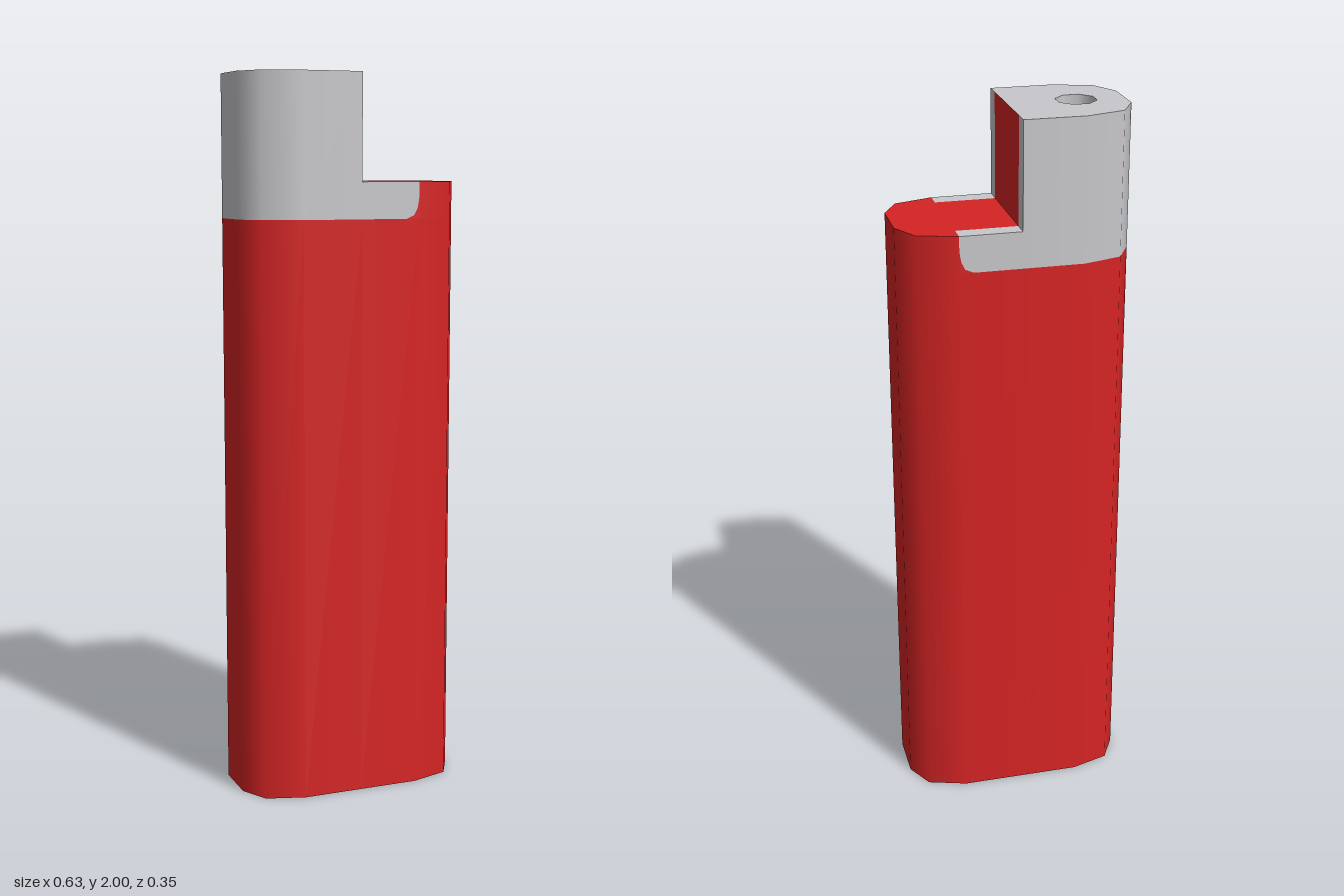
import * as THREE from 'three';

const RED = new THREE.MeshStandardMaterial({ color: 0xd62424 });
RED.name = 'red plastic';
const GREY = new THREE.MeshStandardMaterial({ color: 0xc8c8cc });
GREY.name = 'grey metal';

const BAND = 1.61, SHOULDER = 1.71, TOP = 2, DEPTH = 0.177, EDGE = 0.168;

// Outline in plan (x, -z), running anticlockwise from the middle of the front
const half = [[0, -DEPTH], [EDGE, -DEPTH], [0.275, -0.144], [0.317, -0.067],
  [0.317, 0.067], [0.275, 0.144], [EDGE, DEPTH]];
const outline = [...half, ...half.map(([x, y]) => [-x, -y])];

const toShape = (pts) => new THREE.Shape(pts.map(([x, y]) => new THREE.Vector2(x, y)));
const rect = (x0, y0, x1, y1) => [[x0, y0], [x1, y0], [x1, y1], [x0, y1]];

// Smooth upright wall along part of a closed loop
function wall(loop, from, to, y0, y1) {
  const n = loop.length, at = (i) => loop[(i + n) % n];
  const pos = [], nor = [], idx = [];
  for (let i = from; i <= to; i++) {
    const [x, y] = at(i), a = at(i - 1), b = at(i + 1);
    const normal = new THREE.Vector3(b[1] - a[1], 0, b[0] - a[0]).normalize();
    for (const h of [y0, y1]) {
      pos.push(x, h, -y);
      nor.push(normal.x, 0, normal.z);
    }
    if (i < to) {
      const k = (i - from) * 2;
      idx.push(k, k + 2, k + 3, k, k + 3, k + 1);
    }
  }
  const geo = new THREE.BufferGeometry();
  geo.setAttribute('position', new THREE.Float32BufferAttribute(pos, 3));
  geo.setAttribute('normal', new THREE.Float32BufferAttribute(nor, 3));
  geo.setIndex(idx);
  return geo;
}

// Level face at height y, facing up or down, with an optional hole
function level(pts, y, hole = null, up = true) {
  const shape = toShape(pts);
  if (hole) shape.holes.push(toShape(hole));
  return new THREE.ShapeGeometry(shape).rotateX(up ? -Math.PI / 2 : Math.PI / 2).translate(0, y, 0);
}

export function createModel() {
  const model = new THREE.Group();
  model.name = 'lighter';
  const add = (name, geo, mat) => {
    const mesh = new THREE.Mesh(geo, mat);
    mesh.name = name;
    model.add(mesh);
  };

  // Body
  add('bodyWall', wall(outline, 0, 14, 0, BAND), RED);
  add('shoulderWall', wall(outline, 1, 6, BAND, SHOULDER), RED);

  // Base: red rim around a grey plate
  const plate = [[0.17, -0.13], [0.24, -0.108], [0.275, -0.05], [0.275, 0.05], [0.24, 0.108], [0.17, 0.13]];
  const basePlate = [...plate, ...plate.map(([x, y]) => [-x, -y])];
  add('baseRim', level(outline, 0, basePlate, false), RED);
  add('basePlate', level(basePlate, 0, null, false), GREY);

  // Shoulder top with a grey strip along each long side
  const inner = 0.128;
  add('shoulderTop', level([[0, -inner], [EDGE, -inner], ...half.slice(1), [EDGE, inner], [0, inner]], SHOULDER), RED);
  for (const s of [1, -1]) {
    add('shoulderStrip', level(rect(0, s * inner, EDGE, s * DEPTH), SHOULDER), GREY);
  }

  // Side flaps of the hood, with a rounded lower corner
  const corner = [[0.13, BAND], [0.153, 1.62], [0.163, 1.64], [EDGE, 1.67]];
  for (const s of [1, -1]) {
    const side = (pts) => new THREE.ShapeGeometry(toShape(pts.map(([x, y]) => [x * s, y])))
      .rotateY(s > 0 ? 0 : Math.PI).translate(0, 0, s * DEPTH);
    add('hoodFlap', side([[0, BAND], ...corner, [EDGE, SHOULDER], [0, SHOULDER]]), GREY);
    add('flapCorner', side([...corner, [EDGE, BAND]]), RED);
  }

  // Hood with its round opening
  const hole = [];
  for (let i = 0; i < 8; i++) {
    const a = (i + 0.5) * Math.PI / 4;
    hole.push([-0.187 + 0.056 * Math.cos(a), 0.056 * Math.sin(a)]);
  }
  add('hoodWall', wall(outline, 7, 14, BAND, TOP), GREY);
  add('hoodTop', level([...outline.slice(7), outline[0]], TOP, hole), GREY);
  add('openingWall', wall([...hole].reverse(), 0, 8, TOP - 0.2, TOP), GREY);
  add('openingFloor', level(hole, TOP - 0.2), GREY);

  // Step face: red centre between grey hood edges
  const step = (z0, z1) => new THREE.PlaneGeometry(z1 - z0, TOP - SHOULDER)
    .rotateY(Math.PI / 2).translate(0, (TOP + SHOULDER) / 2, (z0 + z1) / 2);
  add('stepCentre', step(-0.13, 0.13), RED);
  add('stepEdgeFront', step(0.13, DEPTH), GREY);
  add('stepEdgeBack', step(-DEPTH, -0.13), GREY);

  return model;
}
